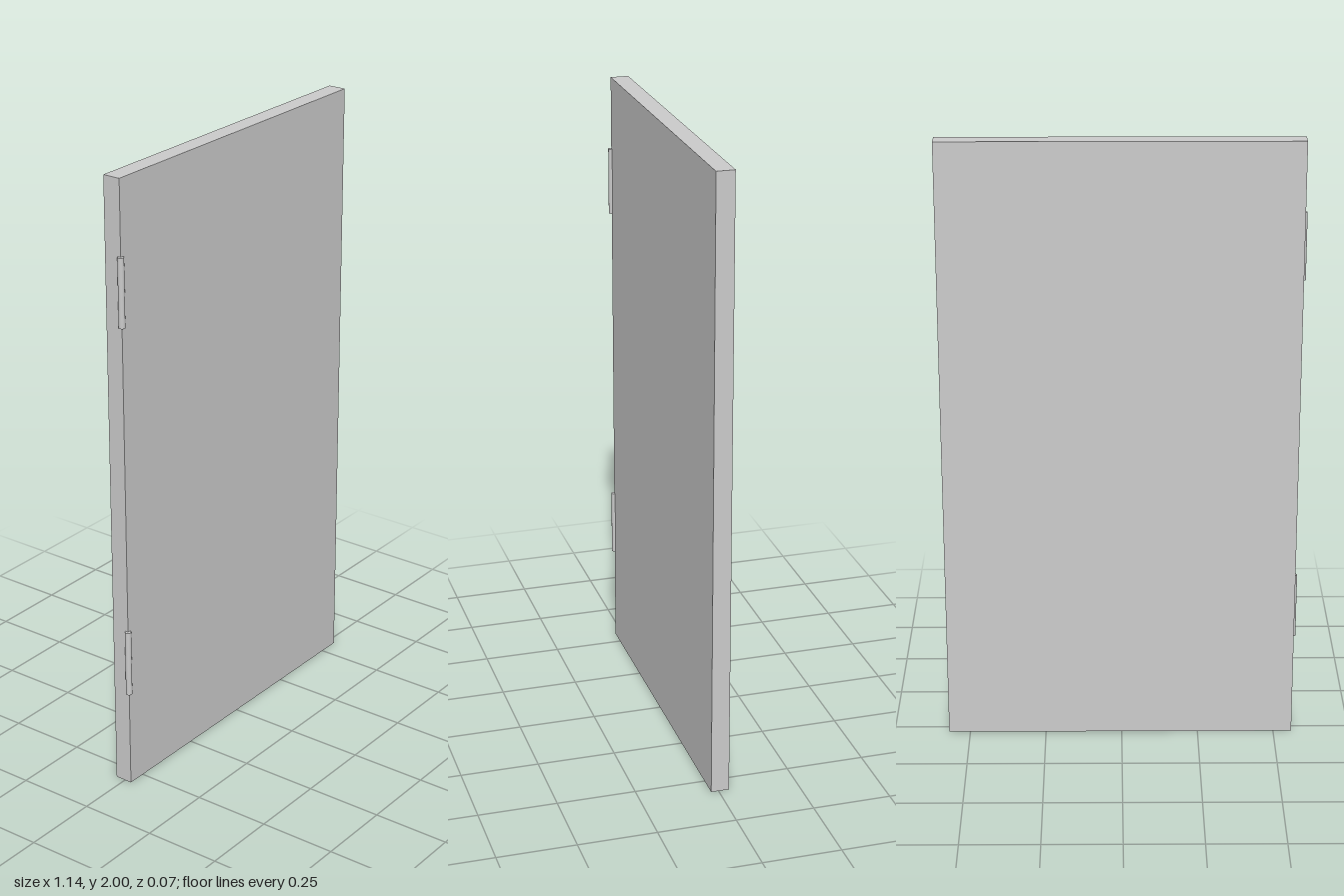
import * as THREE from 'three';

export function createModel() {
  const group = new THREE.Group();
  const material = new THREE.MeshStandardMaterial({ color: 0xcccccc, side: THREE.DoubleSide });

  const left = -0.56, right = 0.57, front = 0.024, back = -0.034, height = 2;

  // Door panel: a hollow box left open underneath
  const panelGeometry = new THREE.BoxGeometry(right - left, height, front - back);
  const index = Array.from(panelGeometry.index.array);
  index.splice(18, 6); // drop the bottom face
  panelGeometry.setIndex(index);
  panelGeometry.clearGroups();
  const panel = new THREE.Mesh(panelGeometry, material);
  panel.name = 'doorPanel';
  panel.position.set((left + right) / 2, height / 2, (front + back) / 2);
  group.add(panel);

  // Hinge barrels on the front corner of the hinged edge
  const hingeGeometry = new THREE.CylinderGeometry(0.01, 0.01, 0.218, 16);
  for (const [name, y] of [['lowerHinge', 0.432], ['upperHinge', 1.654]]) {
    const hinge = new THREE.Mesh(hingeGeometry, material);
    hinge.name = name;
    hinge.position.set(left, y, front);
    group.add(hinge);
  }

  return group;
}
